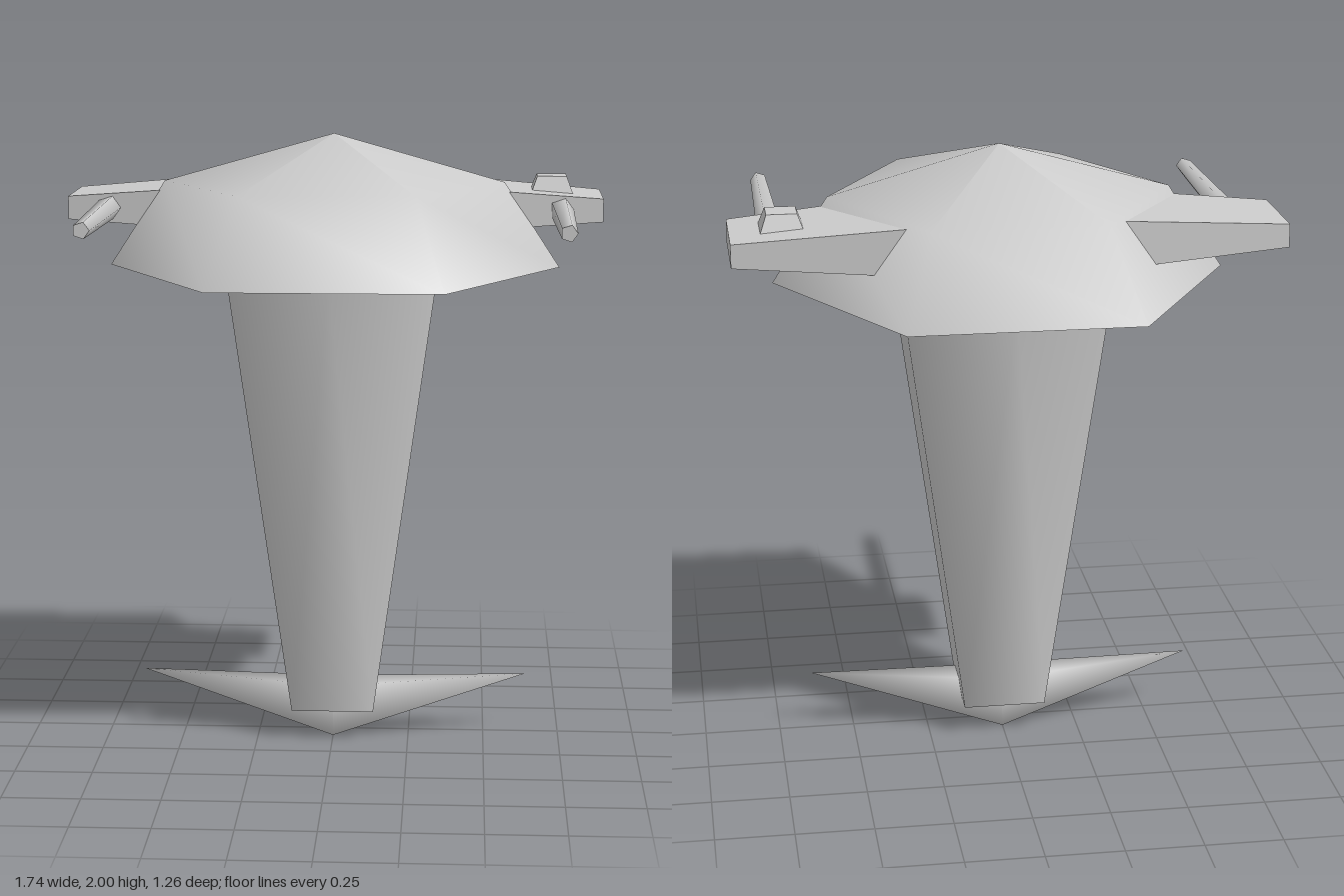
import * as THREE from 'three';

const smooth = new THREE.MeshStandardMaterial({ color: 0xcccccc });
const flat = new THREE.MeshStandardMaterial({ color: 0xcccccc, flatShading: true });

function add(parent, name, geometry, material = smooth) {
  const mesh = new THREE.Mesh(geometry, material);
  mesh.name = name;
  parent.add(mesh);
  return mesh;
}

function indexed(points, faces) {
  const g = new THREE.BufferGeometry();
  g.setAttribute('position', new THREE.Float32BufferAttribute(points.flat(), 3));
  g.setIndex(faces.flat());
  g.computeVertexNormals();
  return g;
}

// Tapered shaft: hexagon at the top blending into a square at the foot
function shaftGeometry() {
  const points = [];
  for (let i = 0; i < 6; i++) {
    const a = i * Math.PI / 3;
    points.push([0.39 * Math.sin(a), 1.57, 0.39 * Math.cos(a)]);
  }
  const s = 0.135;
  points.push([s, 0.1, s], [s, 0.1, -s], [-s, 0.1, -s], [-s, 0.1, s]);
  const faces = [];
  for (const half of [0, 1]) {
    const h = i => (i + 3 * half) % 6;
    const q = i => 6 + (i + 2 * half) % 4;
    faces.push([q(3), q(0), h(0)], [q(0), h(1), h(0)], [q(0), q(1), h(1)],
      [q(1), h(2), h(1)], [q(1), h(3), h(2)]);
  }
  return indexed(points, faces);
}

// Half of the foot: a four-sided spike from the middle section to one tip
function spikeGeometry(side) {
  const points = [[0, 0, 0.08], [0, 0, -0.08], [0, 0.165, -0.065], [0, 0.165, 0.065], [0.64 * side, 0.2, 0]];
  const faces = [];
  for (let i = 0; i < 4; i++) {
    const j = (i + 1) % 4;
    faces.push(side > 0 ? [i, j, 4] : [j, i, 4]);
  }
  return indexed(points, faces);
}

// Wing: a box that narrows outward in depth and height
function wingGeometry(side) {
  const g = new THREE.BoxGeometry(1, 1, 1);
  const p = g.attributes.position;
  for (let i = 0; i < p.count; i++) {
    const outer = p.getX(i) * side > 0;
    const y = p.getY(i) > 0 ? (outer ? 1.79 : 1.835) : (outer ? 1.715 : 1.68);
    const z = p.getZ(i) > 0 ? (outer ? -0.02 : 0.035) : (outer ? -0.33 : -0.385);
    p.setXYZ(i, side * (outer ? 0.87 : 0.3), y, z);
  }
  g.computeVertexNormals();
  return g;
}

export function createModel() {
  const model = new THREE.Group();
  model.name = 'turretTower';

  // Six-sided dome and its flat underside
  const profile = [[0.73, 1.57], [0.55, 1.845], [0, 2]].map(([r, y]) => new THREE.Vector2(r, y));
  add(model, 'dome', new THREE.LatheGeometry(profile, 6, Math.PI / 2));
  add(model, 'domeUnderside', new THREE.CircleGeometry(0.73, 6).rotateX(Math.PI / 2)).position.y = 1.57;

  // Shaft
  add(model, 'shaft', shaftGeometry());
  add(model, 'shaftUnderside', new THREE.PlaneGeometry(0.27, 0.27).rotateX(Math.PI / 2)).position.y = 0.1;

  // Wings, gun barrels and foot spikes on both sides
  for (const side of [1, -1]) {
    const label = side > 0 ? 'left' : 'right';
    add(model, label + 'Wing', wingGeometry(side), flat);
    const barrel = new THREE.CylinderGeometry(0.027, 0.04, 0.66, 5).rotateX(Math.PI / 2).rotateZ(Math.PI / 2);
    add(model, label + 'Barrel', barrel).position.set(0.735 * side, 1.755, 0.29);
    add(model, label + 'FootSpike', spikeGeometry(side));
  }

  // Hatch on the left wing
  const hatch = new THREE.CylinderGeometry(0.048 * Math.SQRT2, 0.07 * Math.SQRT2, 0.06, 4).rotateY(Math.PI / 4);
  add(model, 'hatch', hatch, flat).position.set(0.706, 1.822, -0.175);

  return model;
}
